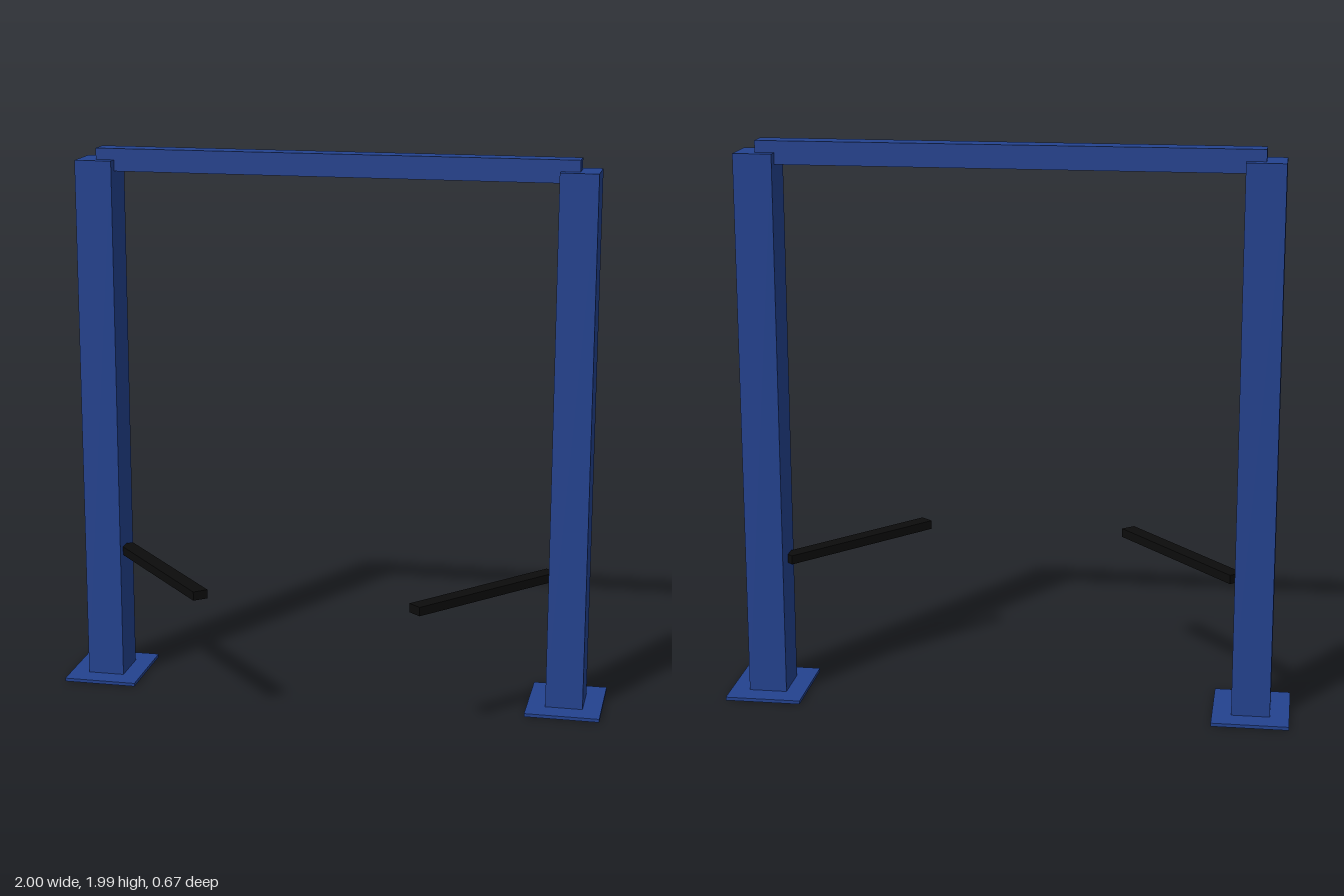
import * as THREE from 'three';

const blue = new THREE.MeshStandardMaterial({ color: 0x23428f });
blue.name = 'blue paint';
const black = new THREE.MeshStandardMaterial({ color: 0x0c0c0c });
black.name = 'black paint';

const COLUMN_Z = -0.17;

function box(name, material, size, position) {
  const mesh = new THREE.Mesh(new THREE.BoxGeometry(...size), material);
  mesh.name = name;
  mesh.position.set(...position);
  return mesh;
}

// Horizontal bar running between two points given as [x, z]
function bar(name, material, from, to, y, width, height) {
  const dx = to[0] - from[0], dz = to[1] - from[1];
  const mesh = box(name, material, [width, height, Math.hypot(dx, dz)],
    [(from[0] + to[0]) / 2, y, (from[1] + to[1]) / 2]);
  mesh.rotation.y = Math.atan2(dx, dz);
  return mesh;
}

export function createModel() {
  const model = new THREE.Group();
  model.name = 'twoPostLift';

  // Each side: floor plate, column and angled lifting arm
  for (const [label, s] of [['left', 1], ['right', -1]]) {
    const side = new THREE.Group();
    side.name = label + 'Side';
    side.add(
      box('basePlate', blue, [0.27, 0.012, 0.324], [s * 0.865, 0.006, COLUMN_Z]),
      box('column', blue, [0.135, 1.938, 0.16], [s * 0.865, 0.981, COLUMN_Z]),
      bar('liftingArm', black, [s * 0.8, COLUMN_Z], [s * 0.38, 0.315], 0.49, 0.055, 0.032),
    );
    model.add(side);
  }

  // Beam joining the column tops
  model.add(box('crossBeam', blue, [1.73, 0.081, 0.081], [0, 1.95, COLUMN_Z]));
  return model;
}
